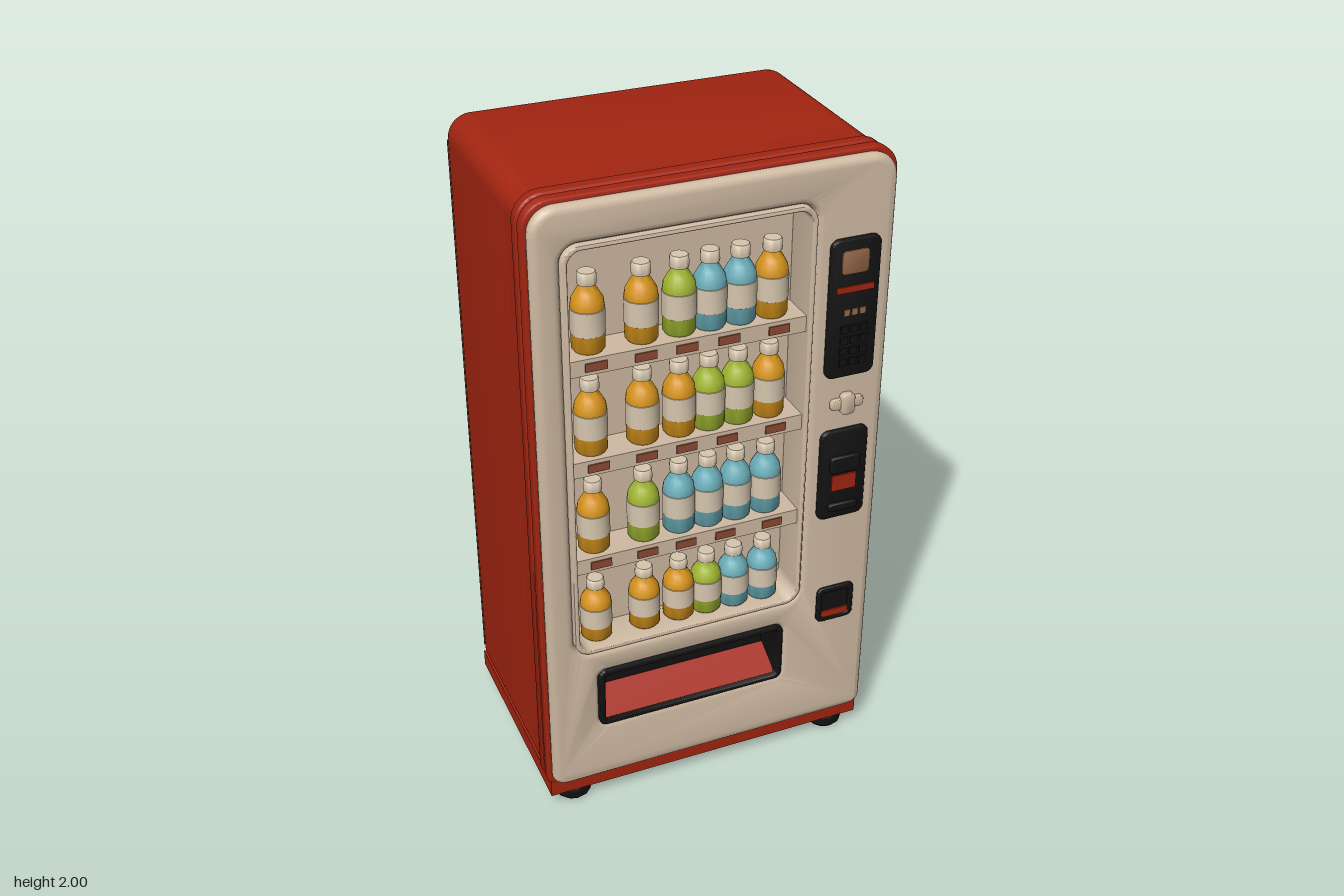
import * as THREE from 'three';
import { toCreasedNormals } from 'three/addons/utils/BufferGeometryUtils.js';

const material = (name, color) => {
  const m = new THREE.MeshStandardMaterial({ color });
  m.name = name;
  return m;
};

export function createModel() {
  const model = new THREE.Group();
  model.name = 'vendingMachine';
  const red = material('red paint', 0xa32511);
  const cream = material('cream paint', 0xd0bba3);
  const black = material('black plastic', 0x121212);
  const tan = material('worn tan', 0x96694a);
  const tagRed = material('price tag', 0x8c4a34);
  const paper = material('bottle label', 0xd6c6ae);
  const drinks = {
    O: material('orange drink', 0xd8951c),
    G: material('green drink', 0xa2b732),
    B: material('blue drink', 0x6cafba),
  };

  const add = (name, geometry, mat, parent = model) => {
    const mesh = new THREE.Mesh(geometry, mat);
    mesh.name = name;
    parent.add(mesh);
    return mesh;
  };
  const group = (name) => {
    const g = new THREE.Group();
    g.name = name;
    model.add(g);
    return g;
  };

  // Rounded rectangle outline; rb is the radius of the bottom corners
  const outline = (path, [x0, x1, y0, y1], r, rb = r) => {
    path.moveTo(x0 + rb, y0);
    path.lineTo(x1 - rb, y0);
    path.absarc(x1 - rb, y0 + rb, rb, -Math.PI / 2, 0);
    path.absarc(x1 - r, y1 - r, r, 0, Math.PI / 2);
    path.absarc(x0 + r, y1 - r, r, Math.PI / 2, Math.PI);
    path.absarc(x0 + rb, y0 + rb, rb, Math.PI, Math.PI * 1.5);
    return path;
  };
  // Rounded slab from z0 to z1, with soft edges and optional holes [rect, radius]
  const slab = (name, rect, r, z0, z1, bevel, mat, { rb = r, holes = [], parent = model } = {}) => {
    const shape = outline(new THREE.Shape(), rect, r, rb);
    for (const [hole, hr] of holes) shape.holes.push(outline(new THREE.Path(), hole, hr));
    const g = new THREE.ExtrudeGeometry(shape, {
      depth: z1 - z0 - 2 * bevel, curveSegments: 8,
      bevelEnabled: bevel > 0, bevelSize: bevel, bevelThickness: bevel, bevelOffset: -bevel, bevelSegments: 4,
    });
    g.translate(0, 0, z0 + bevel);
    return add(name, toCreasedNormals(g, 0.7), mat, parent);
  };
  const box = (name, [x0, x1, y0, y1], z0, z1, mat, parent = model) => {
    const mesh = add(name, new THREE.BoxGeometry(x1 - x0, y1 - y0, z1 - z0), mat, parent);
    mesh.position.set((x0 + x1) / 2, (y0 + y1) / 2, (z0 + z1) / 2);
    return mesh;
  };

  // Cabinet
  const windowRect = [-0.44, 0.275, 0.588, 1.88];
  const trayRect = [-0.368, 0.22, 0.312, 0.507];
  const openings = { rb: 0.02, holes: [[windowRect, 0.05], [trayRect, 0.025]] };
  const bodyRect = [-0.524, 0.512, 0.1, 1.995];
  slab('cabinetBody', bodyRect, 0.07, -0.375, 0.2, 0.038, red, { rb: 0.04 });
  slab('cabinetFront', bodyRect, 0.07, 0.1, 0.226, 0, red, { rb: 0.04 });
  slab('grooveCore', [-0.517, 0.507, 0.1, 1.985], 0.07, 0.22, 0.306, 0, red, openings);
  slab('rearBand', [-0.53, 0.519, 0.1, 2], 0.075, 0.227, 0.268, 0.008, red, openings);
  slab('frontBand', [-0.53, 0.524, 0.1, 2], 0.075, 0.274, 0.312, 0.008, red, openings);
  slab('frontPanel', [-0.52, 0.512, 0.108, 1.99], 0.075, 0.3, 0.345, 0.022, cream, { ...openings, rb: 0.04 });

  // Worn paint along the rear corners
  for (const side of [-1, 1]) {
    const strip = add('wornCorner', new THREE.CylinderGeometry(0.041, 0.041, 1.78, 6, 1, true,
      side * Math.PI * 0.75 - Math.PI / 6, Math.PI / 3), tan);
    strip.material.side = THREE.DoubleSide;
    strip.position.set(side > 0 ? 0.474 : -0.486, 1.03, -0.337);
  }

  // Base and feet
  box('base', [-0.522, 0.512, 0.05, 0.106], -0.37, 0.312, red);
  for (const x of [-0.435, 0.43]) {
    for (const z of [-0.29, 0.255]) {
      const profile = [[0, 0], [0.045, 0], [0.056, 0.012], [0.058, 0.04], [0.048, 0.06]]
        .map(([px, py]) => new THREE.Vector2(px, py));
      const foot = add('foot', toCreasedNormals(new THREE.LatheGeometry(profile, 12), 0.6), black);
      foot.position.set(x, 0, z);
    }
  }

  // Display window and shelves
  const display = group('display');
  slab('windowRim', windowRect, 0.05, 0.226, 0.35, 0.005, cream,
    { holes: [[[-0.425, 0.26, 0.602, 1.866], 0.04]], parent: display });
  box('displayBack', [-0.44, 0.275, 0.588, 1.88], 0.222, 0.229, cream, display);
  for (const y of [1.548, 1.236, 0.914]) {
    box('shelf', [-0.428, 0.263, y - 0.012, y], 0.225, 0.328, cream, display);
    box('shelfEdge', [-0.428, 0.263, y - 0.048, y], 0.322, 0.334, cream, display);
    for (const x of [-0.35, -0.21, -0.092, 0.03, 0.178]) {
      box('priceTag', [x - 0.031, x + 0.031, y - 0.037, y - 0.012], 0.333, 0.338, tagRed, display);
    }
  }

  // Bottles: drink body, paper label and cap
  const lathe = (points) => toCreasedNormals(
    new THREE.LatheGeometry(points.map(([x, y]) => new THREE.Vector2(x, y)), 18), 0.8);
  const drinkGeometry = lathe([[0, 0], [0.04, 0], [0.046, 0.008], [0.046, 0.13], [0.043, 0.15],
    [0.032, 0.17], [0.023, 0.185], [0.021, 0.2]]);
  const labelGeometry = lathe([[0.046, 0.052], [0.0475, 0.053], [0.0475, 0.124], [0.046, 0.125]]);
  const capGeometry = lathe([[0.021, 0.193], [0.026, 0.193], [0.027, 0.2], [0.026, 0.224], [0.023, 0.228], [0, 0.228]]);
  const rows = [['OOGBBO', 1.548], ['OOOGGO', 1.236], ['OGBBBB', 0.914], ['OOOGBB', 0.602]];
  const columns = [-0.35, -0.2, -0.092, -0.004, 0.084, 0.178];
  for (const [kinds, y] of rows) {
    columns.forEach((x, i) => {
      const bottle = group('bottle');
      add('drink', drinkGeometry, drinks[kinds[i]], bottle);
      add('label', labelGeometry, paper, bottle);
      add('cap', capGeometry, paper, bottle);
      bottle.position.set(x, y, 0.277);
      bottle.scale.y = y < 0.7 ? 0.89 : 0.99;
    });
  }

  // Delivery tray with sloping flap
  const tray = group('deliveryTray');
  slab('trayFrame', [-0.372, 0.224, 0.308, 0.511], 0.025, 0.227, 0.35, 0.005, black,
    { holes: [[[-0.352, 0.206, 0.322, 0.495], 0.012]], parent: tray });
  box('trayBack', [-0.36, 0.21, 0.312, 0.507], 0.222, 0.231, black, tray);
  const flap = box('trayFlap', [-0.352, 0.206, 0.344, 0.35], 0.232, 0.34, red, tray);
  flap.rotation.x = 0.5;

  // Keypad
  const keypad = group('keypad');
  slab('keypadPlate', [0.315, 0.465, 1.345, 1.767], 0.025, 0.335, 0.36, 0.006, black, { parent: keypad });
  slab('screen', [0.345, 0.427, 1.665, 1.735], 0.012, 0.357, 0.364, 0.001, tan, { parent: keypad });
  box('redStrip', [0.333, 0.447, 1.61, 1.629], 0.357, 0.364, red, keypad);
  for (let i = 0; i < 3; i++) {
    box('readout', [0.36 + i * 0.024, 0.378 + i * 0.024, 1.538, 1.558], 0.357, 0.363, tan, keypad);
    for (let j = 0; j < 4; j++) {
      const x = 0.352 + i * 0.03;
      const y = 1.385 + j * 0.034;
      box('button', [x, x + 0.022, y, y + 0.022], 0.357, 0.367, black, keypad);
    }
  }

  // Lock on the front panel
  slab('lockPlate', [0.34, 0.442, 1.238, 1.272], 0.012, 0.34, 0.358, 0.004, cream);
  slab('lockKnob', [0.37, 0.412, 1.222, 1.288], 0.014, 0.34, 0.366, 0.005, cream);

  // Payment slot
  const payment = group('paymentSlot');
  slab('paymentPlate', [0.315, 0.465, 0.87, 1.17], 0.025, 0.335, 0.358, 0.006, black, { parent: payment });
  slab('paymentHood', [0.345, 0.438, 1.03, 1.085], 0.01, 0.35, 0.37, 0.004, black, { parent: payment });
  box('paymentBar', [0.353, 0.431, 0.968, 1.02], 0.355, 0.363, red, payment);
  slab('paymentLip', [0.345, 0.438, 0.9, 0.925], 0.01, 0.35, 0.37, 0.004, black, { parent: payment });

  // Coin return
  const coin = group('coinReturn');
  slab('coinFrame', [0.333, 0.455, 0.487, 0.612], 0.02, 0.335, 0.355, 0.005, black,
    { holes: [[[0.35, 0.438, 0.502, 0.592], 0.01]], parent: coin });
  box('coinBack', [0.34, 0.445, 0.495, 0.6], 0.343, 0.347, black, coin);
  box('coinFlap', [0.35, 0.438, 0.502, 0.524], 0.345, 0.352, red, coin);

  // Service plate on the left side
  const service = group('servicePlate');
  slab('serviceFrame', [-0.125, 0.092, 0.852, 1.112], 0.015, 0, 0.02, 0.006, red, { parent: service });
  slab('serviceCover', [-0.12, 0.087, 0.856, 1.088], 0.012, 0.015, 0.023, 0.003, cream, { parent: service });
  service.rotation.y = Math.PI / 2;
  service.position.x = 0.505;

  return model;
}
